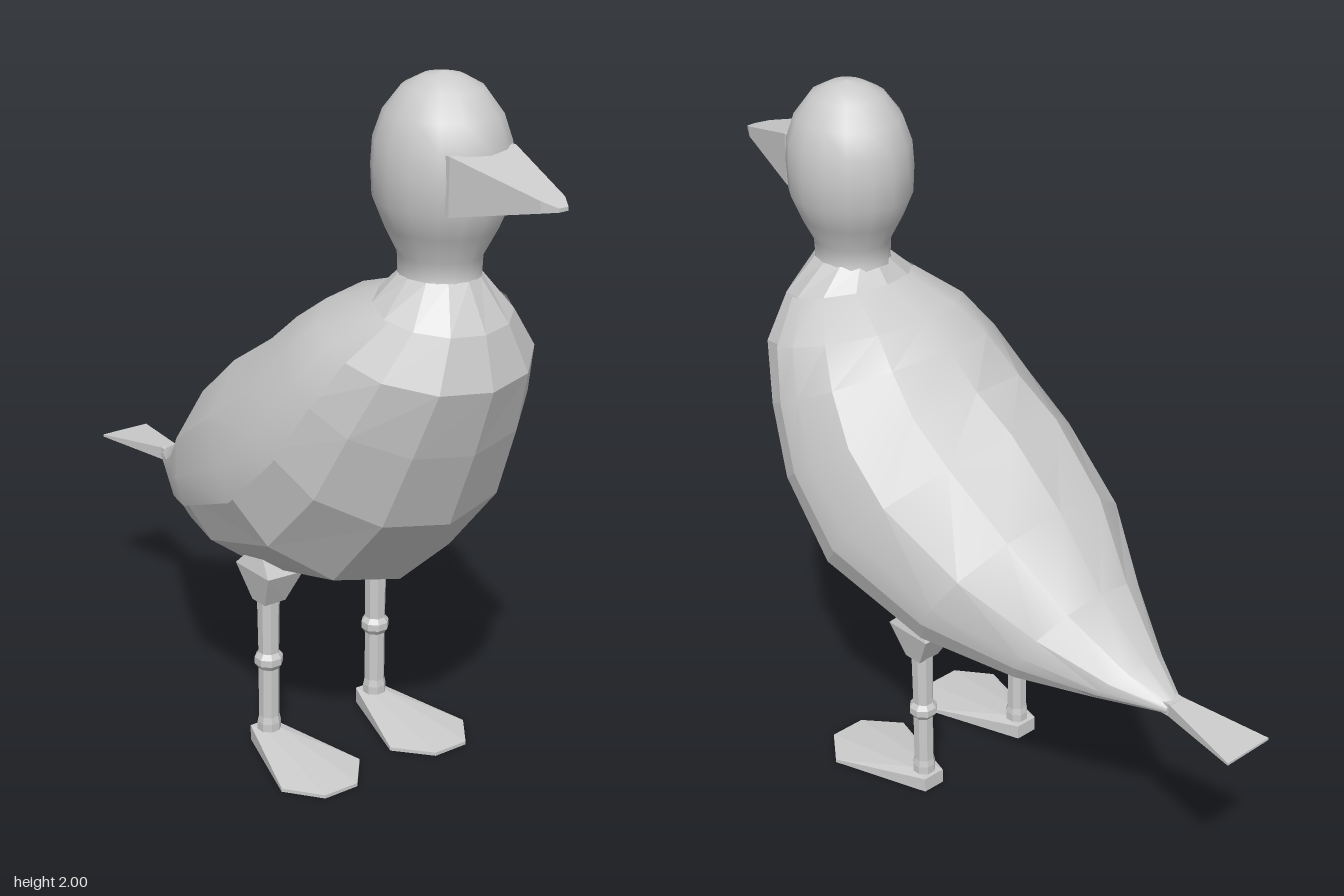
import * as THREE from 'three';
import { toCreasedNormals } from 'three/addons/utils/BufferGeometryUtils.js';
import { ConvexGeometry } from 'three/addons/geometries/ConvexGeometry.js';

const flat = new THREE.MeshStandardMaterial({ color: 0xcccccc, flatShading: true });
const smooth = new THREE.MeshStandardMaterial({ color: 0xcccccc });
const shell = new THREE.MeshStandardMaterial({ color: 0xcccccc, side: THREE.DoubleSide });

// Body stations from neck to tail: [belly z, belly y, back z, back y, half width]
const STATIONS = [
  [0.66, 1.49, 0.44, 1.49, 0.105],
  [0.73, 1.37, 0.40, 1.44, 0.19],
  [0.765, 1.23, 0.24, 1.385, 0.29],
  [0.70, 1.04, 0.15, 1.325, 0.345],
  [0.61, 0.82, 0.04, 1.235, 0.385],
  [0.41, 0.59, -0.10, 1.155, 0.40],
  [0.02, 0.49, -0.29, 0.995, 0.345],
  [-0.28, 0.49, -0.45, 0.81, 0.225],
  [-0.50, 0.53, -0.62, 0.67, 0.115],
  [-0.73, 0.57, -0.73, 0.61, 0.03],
];

// Skin the stations with tilted elliptical sections at the given angles
function loft(stations, angles, grow = 1) {
  const pos = [], index = [], n = angles.length;
  for (const [bz, by, tz, ty, w] of stations) {
    for (const deg of angles) {
      const a = THREE.MathUtils.degToRad(deg), s = Math.sin(a) * grow / 2;
      pos.push(w * grow * Math.cos(a), (by + ty) / 2 + (ty - by) * s, (bz + tz) / 2 + (tz - bz) * s);
    }
  }
  for (let i = 0; i < stations.length - 1; i++) {
    for (let j = 0; j < n - 1; j++) {
      const a = i * n + j, b = a + n;
      index.push(a, b, a + 1, a + 1, b, b + 1);
    }
  }
  const g = new THREE.BufferGeometry();
  g.setAttribute('position', new THREE.Float32BufferAttribute(pos, 3));
  g.setIndex(index);
  return g;
}

const hull = (pts) => new ConvexGeometry(pts.map((p) => new THREE.Vector3(...p)));

// Rectangle of four corners in the plane z
const rect = (z, w, y0, y1) => [[-w, y0, z], [w, y0, z], [w, y1, z], [-w, y1, z]];

function add(parent, name, geometry, material) {
  const mesh = new THREE.Mesh(geometry, material);
  mesh.name = name;
  parent.add(mesh);
  return mesh;
}

function makeLeg(name, x) {
  const leg = new THREE.Group();
  leg.name = name;
  leg.position.x = x;

  // Thigh tapering down from the belly
  add(leg, 'thigh', hull([
    [0.03, 0.63, 0.06], [-0.03, 0.62, 0.06],
    [0.055, 0.55, 0.14], [0.055, 0.55, -0.015], [-0.07, 0.54, 0.13], [-0.07, 0.54, -0.01],
    [0.035, 0.45, 0.095], [0.035, 0.45, 0.035], [-0.035, 0.45, 0.095], [-0.035, 0.45, 0.035],
  ]), flat);

  // Shank with a ringed joint in the middle
  const profile = [[0.034, 0.02], [0.034, 0.07], [0.03, 0.09], [0.03, 0.24], [0.041, 0.255],
    [0.041, 0.275], [0.03, 0.29], [0.033, 0.47]];
  const shank = add(leg, 'shank',
    new THREE.LatheGeometry(profile.map((p) => new THREE.Vector2(...p)), 8, Math.PI / 8), flat);
  shank.position.z = 0.063;

  // Webbed foot, a wedge falling from the heel to the toes
  const sole = [[0.035, 0.02], [0.135, 0.31], [0.06, 0.41], [-0.05, 0.41], [-0.135, 0.31], [-0.035, 0.02]];
  const foot = sole.flatMap(([px, pz]) => [[px, 0, pz], [px, pz < 0.1 ? 0.045 : 0.01, pz]]);
  foot.push([0.025, 0.047, 0.09], [-0.025, 0.047, 0.09]);
  add(leg, 'foot', hull(foot), flat);
  return leg;
}

export function createModel() {
  const bird = new THREE.Group();
  bird.name = 'bird';

  // Faceted body
  const around = Array.from({ length: 13 }, (_, i) => i * 30);
  add(bird, 'body', toCreasedNormals(loft(STATIONS, around), 0.2), flat);

  // Folded wings and back, a thin shell lying over the body
  const over = [-7, 8, 30, 60, 90, 120, 150, 172, 187];
  add(bird, 'foldedWings', toCreasedNormals(loft(STATIONS.slice(1), over, 1.02), 0.45), shell);

  // Head and neck
  const headProfile = [[0.115, 1.44], [0.103, 1.49], [0.105, 1.54], [0.14, 1.61], [0.168, 1.68],
    [0.172, 1.76], [0.168, 1.83], [0.145, 1.9], [0.1, 1.962], [0.05, 1.99], [0, 2]];
  const head = add(bird, 'head',
    new THREE.LatheGeometry(headProfile.map((p) => new THREE.Vector2(...p)), 16), smooth);
  head.scale.z = 1.08;
  head.position.z = 0.547;

  // Beak
  add(bird, 'beak', hull([
    ...rect(0.66, 0.105, 1.68, 1.83), ...rect(0.70, 0.105, 1.68, 1.83),
    ...rect(0.95, 0.038, 1.735, 1.765), ...rect(0.988, 0.015, 1.742, 1.752),
  ]), flat);

  // Tail fan
  add(bird, 'tail', hull([
    ...rect(-0.66, 0.035, 0.58, 0.61), ...rect(-0.74, 0.025, 0.573, 0.612),
  ]), flat);
  add(bird, 'tailFan', hull([
    ...rect(-0.73, 0.025, 0.573, 0.612), ...rect(-0.99, 0.08, 0.58, 0.587),
  ]), flat);

  bird.add(makeLeg('leftLeg', 0.19));
  const right = makeLeg('rightLeg', 0.19);
  // Mirror the right leg
  const mirror = new THREE.Group();
  mirror.name = 'rightSide';
  mirror.scale.x = -1;
  mirror.add(right);
  bird.add(mirror);
  return bird;
}
